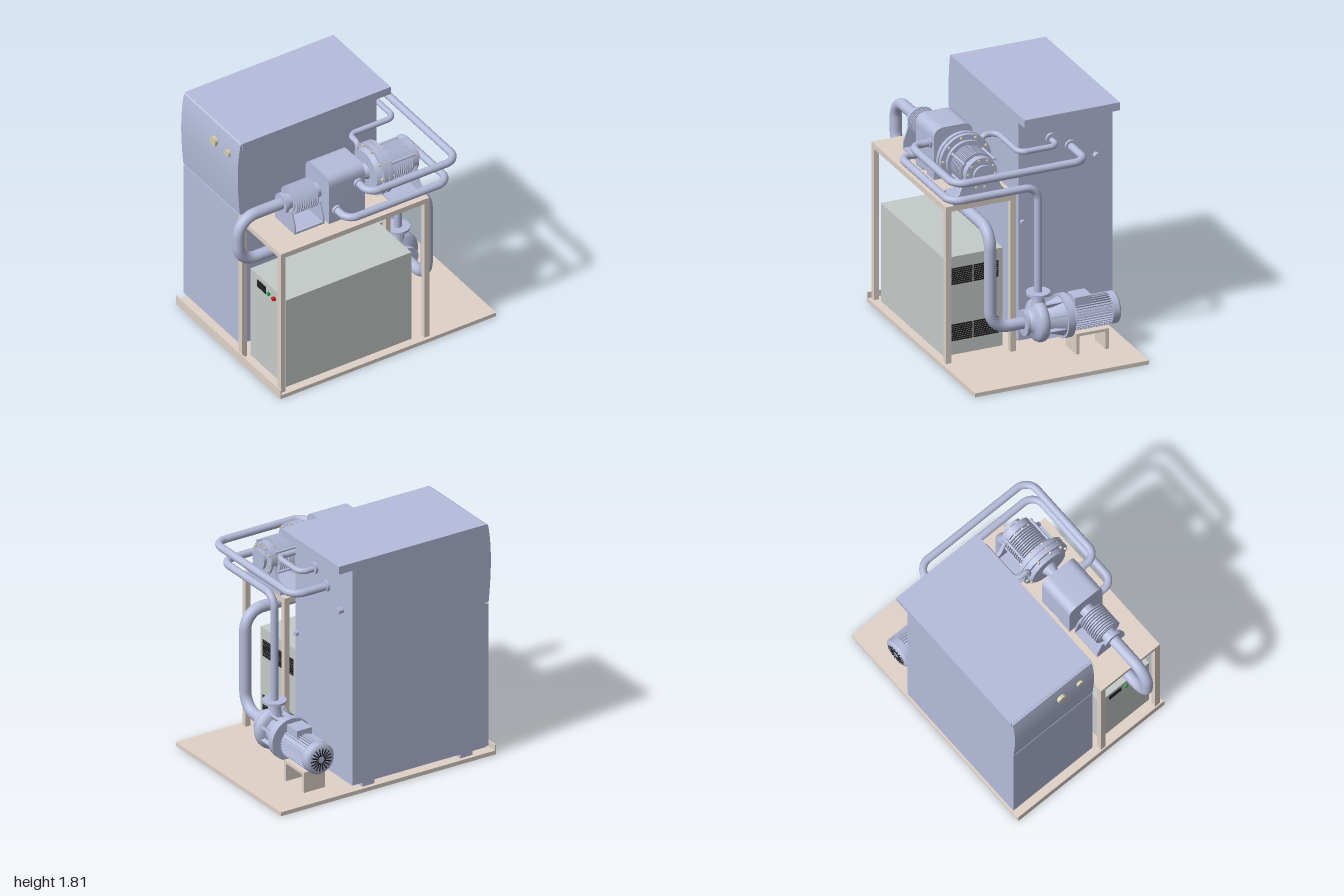
import * as THREE from 'three';
import { toCreasedNormals } from 'three/addons/utils/BufferGeometryUtils.js';

const mat = (color) => new THREE.MeshStandardMaterial({ color, side: THREE.DoubleSide });
const V = (x, y, z) => new THREE.Vector3(x, y, z);

export function createModel() {
  const root = new THREE.Group();
  root.name = 'heatRecoverySkid';
  const blue = mat(0xb6bcdb), beige = mat(0xdfd2c8), grey = mat(0xc5cbc9);
  const black = mat(0x202020), red = mat(0xcc2020), green = mat(0x20a040), brass = mat(0xd6cfb0);

  const group = (name) => {
    const g = new THREE.Group();
    g.name = name;
    root.add(g);
    return g;
  };
  const add = (parent, name, geo, m) => {
    const mesh = new THREE.Mesh(geo, m);
    mesh.name = name;
    parent.add(mesh);
    return mesh;
  };
  // box given by its limits on each axis
  const box = (parent, name, m, x0, x1, y0, y1, z0, z1) =>
    add(parent, name, new THREE.BoxGeometry(x1 - x0, y1 - y0, z1 - z0), m)
      .position.set((x0 + x1) / 2, (y0 + y1) / 2, (z0 + z1) / 2);
  // turned part: profile of [position along axis, radius], closed at both ends
  const turn = (parent, name, m, axis, c, prof, sides = 40) => {
    const pts = [[prof[0][0], 0], ...prof, [prof[prof.length - 1][0], 0]];
    let geo = new THREE.LatheGeometry(pts.map(([t, r]) => new THREE.Vector2(r, t)), sides);
    geo = toCreasedNormals(geo, 0.6);
    if (axis === 'x') geo.rotateZ(-Math.PI / 2);
    if (axis === 'z') geo.rotateX(Math.PI / 2);
    add(parent, name, geo, m).position.set(...c);
  };
  const disc = (parent, name, m, axis, c, a, b, r, sides) =>
    turn(parent, name, m, axis, c, [[a, r], [b, r]], sides);
  // pipe along a polyline with rounded corners
  const pipe = (name, r, bend, points) => {
    const p = points.map((q) => V(...q)), path = new THREE.CurvePath();
    let last = p[0];
    for (let i = 1; i < p.length - 1; i++) {
      const toA = p[i - 1].clone().sub(p[i]), toB = p[i + 1].clone().sub(p[i]);
      const d = Math.min(bend, toA.length() * 0.49, toB.length() * 0.49);
      toA.normalize(); toB.normalize();
      const at = (dir, k) => p[i].clone().addScaledVector(dir, d * k);
      path.add(new THREE.LineCurve3(last, at(toA, 1)));
      path.add(new THREE.CubicBezierCurve3(at(toA, 1), at(toA, 0.45), at(toB, 0.45), at(toB, 1)));
      last = at(toB, 1);
    }
    path.add(new THREE.LineCurve3(last, p[p.length - 1]));
    add(root, name, new THREE.TubeGeometry(path, 180, r, 18), blue);
  };
  // outline of [across z, y] extruded along x from x0 to x1, centred on z = zc
  const slab = (parent, name, m, shape, x0, x1, zc) => {
    const geo = new THREE.ExtrudeGeometry(shape, { depth: x1 - x0, bevelEnabled: false, curveSegments: 10 });
    add(parent, name, toCreasedNormals(geo.rotateY(Math.PI / 2), 0.6), m).position.set(x0, 0, zc);
  };
  const poly = (pts) => new THREE.Shape(pts.map(([a, b]) => new THREE.Vector2(a, b)));

  // base plate with an upturned lip on one edge
  const base = group('base');
  box(base, 'basePlate', beige, -0.8, 1, 0, 0.03, -0.69, 0.65);
  box(base, 'baseLip', beige, -0.8, -0.79, 0.03, 0.075, -0.69, 0.65);

  // tall cabinet
  const cab = group('cabinet');
  box(cab, 'cabinetBody', blue, -0.715, 0.4, 0.075, 1.75, -0.685, 0.04);
  box(cab, 'cabinetRoof', blue, -0.72, 0.515, 1.75, 1.81, -0.69, 0.045);
  box(cab, 'lowerDoor', blue, -0.74, -0.715, 0.08, 1.19, -0.685, 0.04);
  const door = new THREE.Shape();
  door.moveTo(-0.715, 1.2);
  door.lineTo(-0.74, 1.2);
  door.bezierCurveTo(-0.755, 1.35, -0.775, 1.6, -0.735, 1.8);
  door.lineTo(-0.715, 1.81);
  add(cab, 'upperDoor', toCreasedNormals(new THREE.ExtrudeGeometry(door, { depth: 0.725, bevelEnabled: false }), 0.5), blue)
    .position.z = -0.685;
  disc(cab, 'largeKnob', brass, 'x', [-0.775, 1.665, -0.26], 0, 0.03, 0.037, 24);
  disc(cab, 'smallKnob', brass, 'x', [-0.77, 1.665, -0.09], 0, 0.03, 0.028, 24);
  for (const x of [-0.62, 0.2])
    for (const z of [-0.66, -0.06]) box(cab, 'cabinetFoot', blue, x, x + 0.1, 0.03, 0.075, z, z + 0.08);
  for (const [y, z, r, l] of [[1.58, -0.21, 0.042, 0.02], [1.5, -0.36, 0.042, 0.02], [1.39, -0.555, 0.022, 0.04],
    [0.98, 0.01, 0.018, 0.025], [0.18, 0.01, 0.022, 0.025]])
    disc(cab, 'cabinetPort', blue, 'x', [0.4, y, z], 0, l, r, 24);

  // stand
  const stand = group('stand');
  box(stand, 'standTop', beige, -0.78, 0.46, 1.19, 1.23, 0.085, 0.625);
  for (const x of [-0.78, 0.42])
    for (const z of [0.085, 0.583]) box(stand, 'standLeg', beige, x, x + 0.04, 0.03, 1.19, z, z + 0.042);

  // power unit with louvres and controls
  const unit = group('powerUnit');
  box(unit, 'unitBody', grey, -0.71, 0.335, 0.03, 0.78, 0.13, 0.585);
  for (const y0 of [0.135, 0.565])
    for (const z of [0.165, 0.365])
      for (let i = 0; i < 9; i++)
        box(unit, 'louvre', black, 0.33, 0.338, y0 + i * 0.0145, y0 + 0.011 + i * 0.0145, z, z + 0.19);
  box(unit, 'display', black, -0.714, -0.7, 0.68, 0.74, 0.22, 0.33);
  disc(unit, 'greenButton', green, 'x', [-0.725, 0.71, 0.37], 0, 0.02, 0.014, 16);
  disc(unit, 'redButton', red, 'x', [-0.73, 0.71, 0.44], 0, 0.025, 0.016, 16);
  box(unit, 'doorHandle', black, -0.722, -0.71, 0.385, 0.42, 0.505, 0.525);

  // rotating machine on the stand, axis along x
  const c = [0, 1.44, 0.355], zc = 0.355;
  const inlet = group('inletCompressor');
  turn(inlet, 'inletNeck', blue, 'x', c, [[-0.605, 0.075], [-0.58, 0.075], [-0.58, 0.058], [-0.54, 0.058],
    [-0.54, 0.08], [-0.35, 0.08], [-0.35, 0.055], [-0.29, 0.055]]);
  for (let i = 0; i < 10; i++)
    disc(inlet, 'coolingFin', blue, 'x', c, -0.535 + i * 0.019, -0.527 + i * 0.019, 0.107);
  const plate = poly([[-0.125, 1.23], [0.125, 1.23], [0.125, 1.29], [0.085, 1.4], [-0.085, 1.4], [-0.125, 1.29]]);
  for (const x of [-0.57, -0.335]) slab(inlet, 'inletBracket', blue, plate, x, x + 0.012, zc);
  box(inlet, 'inletFoot', blue, -0.57, -0.323, 1.23, 1.245, 0.23, 0.48);

  // gearbox with rounded top
  const gear = group('gearbox'), g = new THREE.Shape();
  g.moveTo(-0.15, 1.25);
  g.lineTo(0.15, 1.25);
  g.lineTo(0.15, 1.54);
  g.quadraticCurveTo(0.15, 1.62, 0.07, 1.62);
  g.lineTo(-0.07, 1.62);
  g.quadraticCurveTo(-0.15, 1.62, -0.15, 1.54);
  slab(gear, 'gearboxBody', blue, g, -0.3, 0, zc);
  for (const x of [-0.3, -0.11]) box(gear, 'gearboxFoot', blue, x, x + 0.11, 1.23, 1.25, 0.205, 0.505);
  for (const [x, y] of [[-0.24, 1.335], [-0.06, 1.495]])
    disc(gear, 'gearboxPort', blue, 'z', [x, y, 0.5], 0, 0.025, 0.036, 24);

  // turbine with flange, fins and tie rods
  const turb = group('turbine');
  turn(turb, 'turbineCasing', blue, 'x', c, [[0, 0.035], [0.04, 0.035], [0.1, 0.06], [0.1, 0.15], [0.135, 0.165], [0.135, 0.195],
    [0.165, 0.195], [0.165, 0.185], [0.18, 0.185], [0.18, 0.195], [0.21, 0.195], [0.21, 0.155], [0.235, 0.155],
    [0.235, 0.095], [0.42, 0.095], [0.42, 0.12], [0.47, 0.12], [0.47, 0.06], [0.485, 0.06], [0.485, 0.075], [0.505, 0.075]], 48);
  for (let i = 0; i < 9; i++)
    disc(turb, 'turbineFin', blue, 'x', c, 0.25 + i * 0.018, 0.258 + i * 0.018, 0.132);
  for (let i = 0; i < 10; i++) {
    const a = (i / 10) * Math.PI * 2 + 0.1, at = (r) => [0, 1.44 + Math.sin(a) * r, zc + Math.cos(a) * r];
    disc(turb, 'flangeBolt', brass, 'x', at(0.177), 0.12, 0.225, 0.011, 8);
    disc(turb, 'endBolt', brass, 'x', at(0.104), 0.4, 0.482, 0.009, 8);
  }
  for (const a of [0.6, 2.54, 3.74, 5.68])
    disc(turb, 'tieRod', blue, 'x', [0, 1.44 + Math.sin(a) * 0.14, zc + Math.cos(a) * 0.14], 0.2, 0.44, 0.01, 10);
  const saddle = poly([[-0.21, 1.23], [0.21, 1.23], [0.21, 1.265], [0.16, 1.31], [0.11, 1.44], [-0.11, 1.44], [-0.16, 1.31], [-0.21, 1.265]]);
  slab(turb, 'turbineBracket', blue, saddle, 0.43, 0.455, zc);
  box(turb, 'turbineFoot', blue, 0.2, 0.46, 1.23, 1.245, 0.145, 0.565);
  for (const x of [0.24, 0.38])
    for (const z of [0.175, 0.535]) disc(turb, 'footBolt', brass, 'y', [x, 1.245, z], 0, 0.012, 0.012, 8);

  // pump, axis along z
  const pump = group('pump'), pc = [0.612, 0.31, 0];
  turn(pump, 'pumpCasing', blue, 'z', pc, [[-0.235, 0.16], [-0.18, 0.16], [-0.18, 0.14], [-0.06, 0.1], [-0.055, 0.125],
    [-0.045, 0.145], [-0.025, 0.157], [0, 0.157], [0.02, 0.147], [0.035, 0.12], [0.045, 0.085], [0.075, 0.06],
    [0.08, 0.095], [0.105, 0.095]], 48);
  turn(pump, 'pumpOutlet', blue, 'y', [0.612, 0, -0.015], [[0.38, 0.062], [0.48, 0.042], [0.51, 0.042], [0.51, 0.086], [0.53, 0.086]]);
  for (let i = 0; i < 8; i++) {
    const a = ((i + 0.5) / 8) * Math.PI * 2;
    const rib = add(pump, 'casingRib', new THREE.BoxGeometry(0.03, 0.015, 0.14), blue);
    rib.position.set(pc[0] + Math.cos(a) * 0.128, pc[1] + Math.sin(a) * 0.128, -0.12);
    rib.rotation.z = a;
  }

  // finned electric motor
  const motor = group('motor'), my = 0.303;
  turn(motor, 'motorBody', blue, 'z', [0.612, my, 0], [[-0.612, 0.09], [-0.605, 0.108], [-0.595, 0.116], [-0.545, 0.116],
    [-0.545, 0.1], [-0.27, 0.1], [-0.265, 0.085], [-0.23, 0.085]]);
  for (let i = 0; i < 36; i++) {
    const a = (i / 36) * Math.PI * 2;
    const fin = add(motor, 'motorFin', new THREE.BoxGeometry(0.022, 0.006, 0.275), blue);
    fin.position.set(0.612 + Math.cos(a) * 0.106, my + Math.sin(a) * 0.106, -0.408);
    fin.rotation.z = a;
    if (i % 2) continue;
    const spoke = add(motor, 'fanSlot', new THREE.BoxGeometry(0.06, 0.009, 0.006), black);
    spoke.position.set(0.612 + Math.cos(a) * 0.056, my + Math.sin(a) * 0.056, -0.611);
    spoke.rotation.z = a;
  }
  box(motor, 'terminalBox', blue, 0.55, 0.675, 0.39, 0.455, -0.4, -0.27);
  box(motor, 'motorStandTop', beige, 0.52, 0.697, 0.165, 0.187, -0.52, -0.27);
  for (const z of [-0.52, -0.295]) box(motor, 'motorStandLeg', beige, 0.52, 0.697, 0.03, 0.165, z, z + 0.025);

  // connecting pipes
  pipe('suctionPipe', 0.043, 0.14, [[-0.59, 1.44, zc], [-0.957, 1.44, zc], [-0.957, 1.065, zc], [0.612, 1.065, zc],
    [0.612, 0.31, zc], [0.612, 0.31, 0.08]]);
  pipe('dischargePipe', 0.028, 0.1, [[0.612, 0.5, -0.015], [0.612, 1.335, -0.015], [0.612, 1.335, 0.655],
    [-0.24, 1.335, 0.655], [-0.24, 1.335, 0.49]]);
  pipe('returnPipe', 0.028, 0.1, [[-0.06, 1.495, 0.49], [-0.06, 1.495, 0.655], [0.68, 1.495, 0.655],
    [0.68, 1.495, -0.36], [0.39, 1.495, -0.36]]);
  pipe('steamPipe', 0.021, 0.06, [[0.14, 1.5, 0.2], [0.14, 1.572, 0.2], [0.14, 1.572, 0.085], [0.52, 1.572, 0.085],
    [0.52, 1.572, -0.21], [0.39, 1.572, -0.21]]);
  return root;
}
